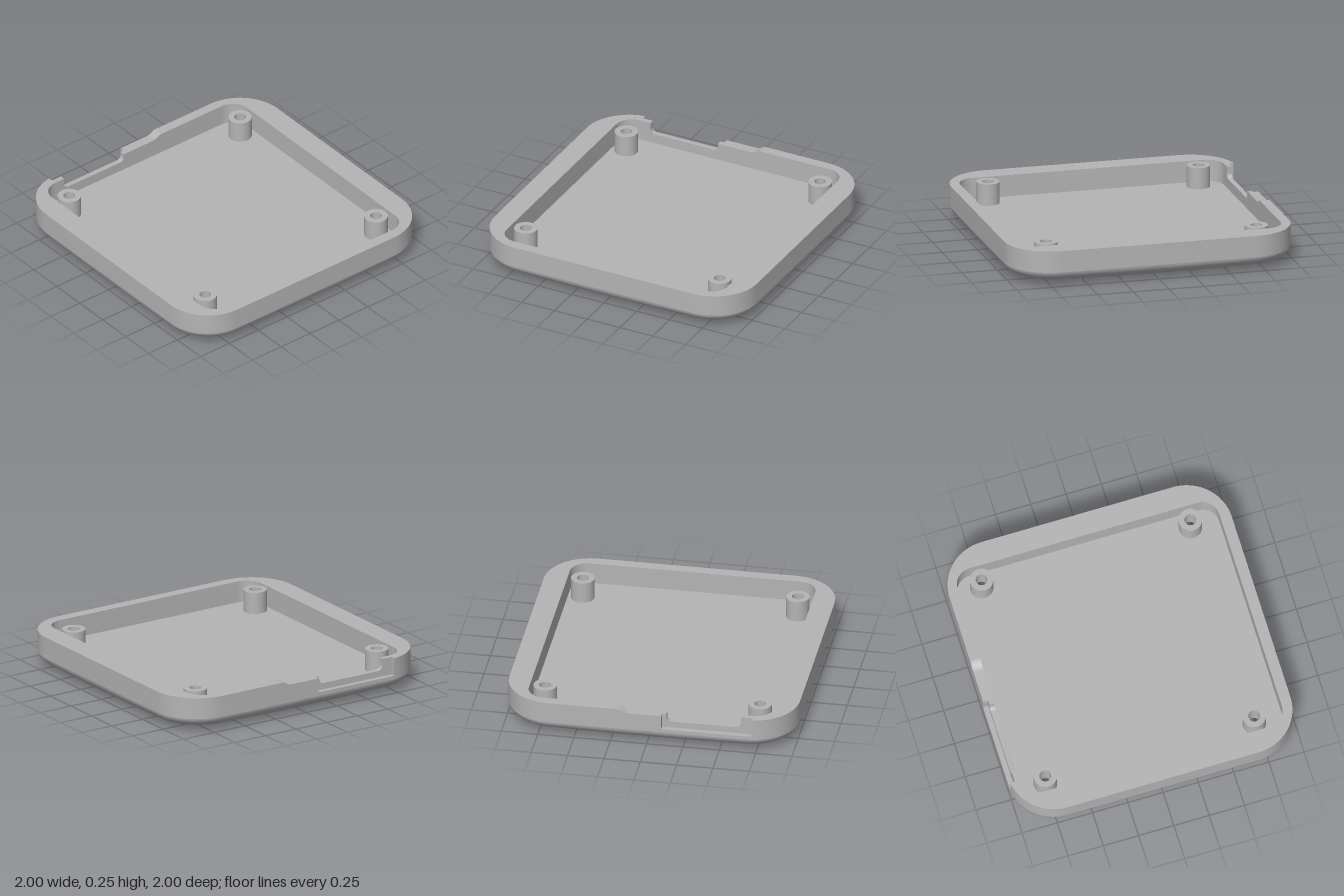
import * as THREE from 'three';
import { mergeVertices, toCreasedNormals } from 'three/addons/utils/BufferGeometryUtils.js';

const TOP = 0.25, FLOOR = 0.1, SLOT = 0.125; // rim, cavity floor and cable slot heights
const CORNER = 0.32, FILLET = 0.11;          // outer corner and bottom edge radii
const FOOT_R = 0.175, FOOT_Y = 0.05;         // foot recess radius and ceiling
const BOSS_X = 0.74, BOSS_BACK = 0.755, BOSS_FRONT = 0.725;

// Rounded rectangle in the xz plane, starting and ending on the back side
function roundedRect(x0, x1, z0, z1, r, n = 16) {
  const centres = [[x1 - r, z0 + r], [x1 - r, z1 - r], [x0 + r, z1 - r], [x0 + r, z0 + r]];
  return centres.flatMap(([cx, cz], k) => Array.from({ length: n + 1 }, (_, i) => {
    const a = (k - 1 + i / n) * Math.PI / 2;
    return new THREE.Vector2(cx + r * Math.cos(a), cz + r * Math.sin(a));
  }));
}

// Horizontal slab between two heights; shape y becomes z
function slab(shape, y0, y1) {
  const g = new THREE.ExtrudeGeometry(shape, { depth: y1 - y0, bevelEnabled: false });
  g.rotateX(Math.PI / 2).translate(0, y1, 0);
  return toCreasedNormals(g, 0.5);
}

// Upright plate from an xy shape between two z positions
function plate(shape, z0, z1) {
  const g = new THREE.ExtrudeGeometry(shape, { depth: z1 - z0, bevelEnabled: false, curveSegments: 8 });
  return toCreasedNormals(g.translate(0, 0, z0), 0.5);
}

// Height of the slightly domed underside with its rounded edge
function undersideY(x, z) {
  const qx = Math.abs(x) - 1 + CORNER, qz = Math.abs(z) - 1 + CORNER;
  const dist = Math.hypot(Math.max(qx, 0), Math.max(qz, 0)) + Math.min(Math.max(qx, qz), 0);
  const e = Math.min(FILLET, Math.max(0, FILLET - (CORNER - dist)));
  const y = FILLET - Math.sqrt(FILLET * FILLET - e * e);
  return y + 0.02 * (x * x + z * z) * (1 - y / FILLET);
}

// Underside: four quadrants, each meshed in rings around its foot recess
function undersideGeometry() {
  const edge = [];
  const ease = t => Math.sin(t * Math.PI / 2);
  for (let i = 0; i < 24; i++) edge.push([ease(i / 24), 0]);
  for (let i = 0; i < 16; i++) edge.push([1, (1 - CORNER) * i / 16]);
  for (let i = 0; i < 16; i++) {
    const a = i / 16 * Math.PI / 2;
    edge.push([1 - CORNER + CORNER * Math.cos(a), 1 - CORNER + CORNER * Math.sin(a)]);
  }
  for (let i = 0; i < 16; i++) edge.push([(1 - CORNER) * (1 - i / 16), 1]);
  for (let i = 0; i < 24; i++) edge.push([0, ease(1 - i / 24)]);

  const pos = [], index = [], n = edge.length, rings = 28;
  for (const sx of [-1, 1]) for (const sz of [-1, 1]) {
    const base = pos.length / 3, cz = sz < 0 ? BOSS_BACK : BOSS_FRONT;
    for (let k = -1; k <= rings; k++) {
      const t = ease(Math.max(k, 0) / rings);
      for (const [bx, bz] of edge) {
        const dx = bx - BOSS_X, dz = bz - cz, s = FOOT_R / Math.hypot(dx, dz);
        const f = s + (1 - s) * t;
        const x = BOSS_X + dx * f, z = cz + dz * f;
        pos.push(sx * x, k < 0 ? FOOT_Y : undersideY(x, z), sz * z);
      }
    }
    for (let k = 0; k <= rings; k++) for (let j = 0; j < n; j++) {
      const a = base + k * n + j, d = base + k * n + (j + 1) % n, b = a + n, c = d + n;
      if (sx * sz > 0) index.push(a, b, c, a, c, d);
      else index.push(a, c, b, a, d, c);
    }
  }
  const g = new THREE.BufferGeometry();
  g.setAttribute('position', new THREE.Float32BufferAttribute(pos, 3));
  g.setIndex(index);
  return toCreasedNormals(mergeVertices(g, 1e-5), 0.5);
}

export function createModel() {
  const group = new THREE.Group();
  const grey = new THREE.MeshStandardMaterial({ color: 0xb4b4b4 });
  grey.name = 'plain grey';
  const add = (name, geometry) => {
    const mesh = new THREE.Mesh(geometry, grey);
    mesh.name = name;
    group.add(mesh);
    return mesh;
  };

  const outer = roundedRect(-1, 1, -1, 1, CORNER);
  const inner = roundedRect(-0.845, 0.843, -0.93, 0.925, 0.12);

  add('underside', undersideGeometry());

  // Lower wall, a closed ring
  const ring = new THREE.Shape(outer);
  ring.holes.push(new THREE.Path(inner));
  add('lowerWall', slab(ring, FLOOR, SLOT));

  // Upper wall, open at the back for the cable slot
  const V = (x, z) => new THREE.Vector2(x, z);
  const L = -0.72, R = 0.2;
  const outside = outer.filter(p => !(p.y < -0.9 && p.x > L && p.x < R));
  add('upperWall', slab(new THREE.Shape([
    V(R, -1), ...outside, V(L, -0.9975), V(L, -0.93), ...inner.slice().reverse(), V(R, -0.93),
  ]), SLOT, TOP));

  // Back wall beside the slot, with a slightly lowered rim
  const dip = 0.225;
  const outerBack = new THREE.Shape();
  outerBack.moveTo(-0.1, SLOT).lineTo(R, SLOT).lineTo(R, TOP);
  outerBack.bezierCurveTo(0.17, TOP, 0.16, dip, 0.12, dip);
  outerBack.lineTo(-0.1, dip);
  add('outerBackWall', plate(outerBack, -1, -0.965));

  // Inner lip with a rounded notch
  const lip = new THREE.Shape();
  lip.moveTo(L, SLOT).lineTo(R, SLOT).lineTo(R, TOP);
  lip.bezierCurveTo(0.17, TOP, 0.16, dip, 0.12, dip);
  lip.lineTo(-0.13, dip).lineTo(-0.13, 0.205);
  lip.quadraticCurveTo(-0.13, 0.17, -0.165, 0.17);
  lip.lineTo(-0.61, 0.17);
  lip.quadraticCurveTo(-0.645, 0.17, -0.645, 0.205);
  lip.lineTo(-0.645, TOP).lineTo(L, TOP);
  add('slotLip', plate(lip, -0.965, -0.93));

  // Cavity floor and the four screw bosses with their foot recesses
  const floor = new THREE.Shape(inner);
  const profile = [[0.08, FLOOR], [0.08, TOP], [0.04, TOP], [0.04, 0.1], [0.06, 0.1], [0.06, FOOT_Y], [FOOT_R, FOOT_Y]]
    .map(([r, y]) => V(r, y));
  const boss = toCreasedNormals(new THREE.LatheGeometry(profile, 48), 0.5);
  for (const x of [-BOSS_X, BOSS_X]) for (const z of [-BOSS_BACK, BOSS_FRONT]) {
    floor.holes.push(new THREE.Path().absarc(x, z, 0.078, 0, Math.PI * 2, true));
    add('screwBoss', boss).position.set(x, 0, z);
  }
  add('cavityFloor', slab(floor, FLOOR - 0.005, FLOOR));

  return group;
}
